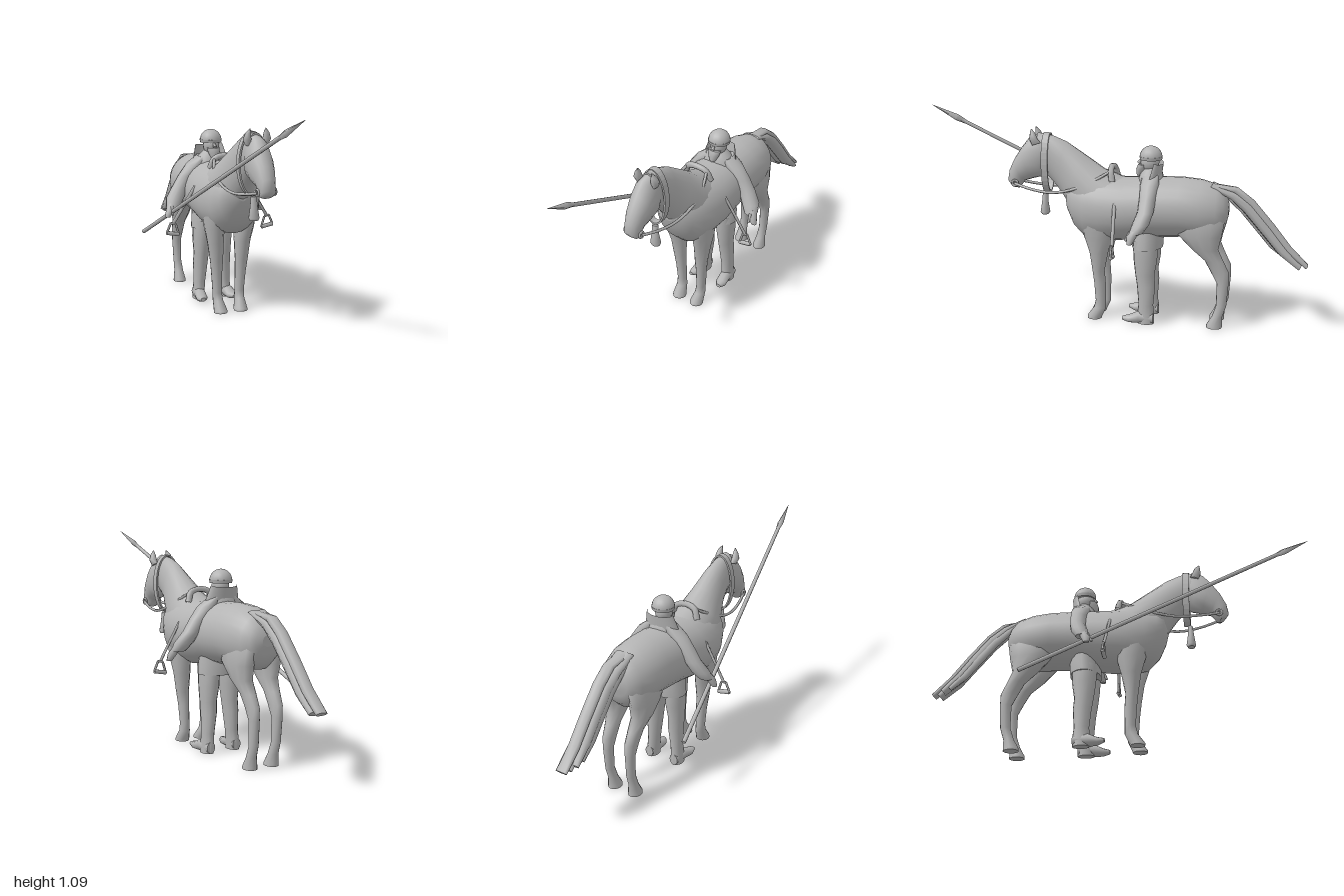
import * as THREE from 'three';

const grey = new THREE.MeshStandardMaterial({ color: 0xb4b4b4, side: THREE.DoubleSide });
grey.name = 'plain grey';

// Skin over elliptical rings. Each section: [z, y, z, y of two opposite points, half width in x, centre x]
function loft(sections, sides = 16) {
  const pos = [], index = [];
  const rings = sections.map(([za, ya, zb, yb, w, cx = 0]) => ({
    c: new THREE.Vector3(cx, (ya + yb) / 2, (za + zb) / 2),
    d: new THREE.Vector3(0, (ya - yb) / 2, (za - zb) / 2), w,
  }));
  const first = rings[0], last = rings[rings.length - 1];
  const normal = new THREE.Vector3(1, 0, 0).cross(first.d);
  const flip = normal.dot(last.c.clone().sub(first.c)) < 0;
  const tri = (a, b, c) => (flip ? index.push(a, c, b) : index.push(a, b, c));
  const addRing = (r) => {
    for (let i = 0; i < sides; i++) {
      const t = (i / sides) * Math.PI * 2, s = Math.sin(t);
      pos.push(r.c.x + r.w * Math.cos(t), r.c.y + r.d.y * s, r.c.z + r.d.z * s);
    }
  };
  rings.forEach(addRing);
  for (let k = 0; k < rings.length - 1; k++) {
    for (let i = 0; i < sides; i++) {
      const a = k * sides + i, b = k * sides + ((i + 1) % sides);
      tri(a, b, b + sides);
      tri(a, b + sides, a + sides);
    }
  }
  [first, last].forEach((r, end) => {
    const start = pos.length / 3;
    addRing(r);
    pos.push(r.c.x, r.c.y, r.c.z);
    for (let i = 0; i < sides; i++) {
      const a = start + i, b = start + ((i + 1) % sides);
      end ? tri(start + sides, a, b) : tri(start + sides, b, a);
    }
  });
  const g = new THREE.BufferGeometry();
  g.setAttribute('position', new THREE.Float32BufferAttribute(pos, 3));
  g.setIndex(index);
  g.computeVertexNormals();
  return g;
}

// Straight bar between two points
function bar(a, b, rStart, rEnd = rStart, sides = 6) {
  const A = new THREE.Vector3(...a), B = new THREE.Vector3(...b);
  const dir = B.clone().sub(A);
  const g = new THREE.CylinderGeometry(rEnd, rStart, dir.length(), sides);
  g.applyQuaternion(new THREE.Quaternion().setFromUnitVectors(new THREE.Vector3(0, 1, 0), dir.normalize()));
  return g.translate(...A.add(B).multiplyScalar(0.5).toArray());
}

function tube(points, r, segments = 24) {
  const curve = new THREE.CatmullRomCurve3(points.map((p) => new THREE.Vector3(...p)));
  return new THREE.TubeGeometry(curve, segments, r, 6);
}

export function createModel() {
  const model = new THREE.Group();
  const add = (name, geometry) => {
    const m = new THREE.Mesh(geometry, grey);
    m.name = name;
    model.add(m);
    return m;
  };

  // Horse
  add('horseBody', loft([
    [-0.59, 0.635, -0.588, 0.58, 0.03], [-0.583, 0.665, -0.58, 0.545, 0.065], [-0.565, 0.7, -0.568, 0.5, 0.09],
    [-0.53, 0.735, -0.53, 0.465, 0.118], [-0.45, 0.758, -0.45, 0.455, 0.143],
    [-0.35, 0.766, -0.35, 0.46, 0.152], [-0.2, 0.762, -0.2, 0.45, 0.157],
    [-0.05, 0.755, -0.05, 0.425, 0.164], [0.06, 0.76, 0.06, 0.413, 0.157],
    [0.14, 0.755, 0.14, 0.425, 0.138], [0.2, 0.74, 0.2, 0.485, 0.11], [0.235, 0.72, 0.235, 0.56, 0.075],
    [0.25, 0.69, 0.25, 0.61, 0.03],
  ], 24));
  add('horseNeck', loft([
    [-0.05, 0.755, 0.14, 0.47, 0.135], [0.05, 0.79, 0.23, 0.59, 0.115], [0.14, 0.852, 0.266, 0.645, 0.088],
    [0.25, 0.925, 0.3, 0.69, 0.064], [0.32, 0.953, 0.345, 0.74, 0.055], [0.4, 0.966, 0.39, 0.77, 0.05],
  ], 20));
  add('horseHead', loft([
    [0.37, 0.965, 0.34, 0.79, 0.045], [0.445, 0.942, 0.37, 0.74, 0.063], [0.49, 0.885, 0.43, 0.725, 0.062],
    [0.53, 0.825, 0.475, 0.71, 0.051], [0.557, 0.768, 0.49, 0.69, 0.042],
    [0.566, 0.715, 0.502, 0.672, 0.041], [0.548, 0.69, 0.52, 0.672, 0.026],
  ]));

  // Tail of overlapping strands: centre x, height offset, half width, length factor, thickness factor
  [[0.006, 0, 0.033, 1, 0.7], [0.012, -0.03, 0.04, 0.93, 1], [-0.02, -0.035, 0.028, 0.88, 1],
    [-0.035, -0.055, 0.013, 0.8, 0.8]].forEach(([x, dy, w, len, thick]) => {
    const at = (dz, drop, t) => {
      const z = -0.5 + dz * len, y = 0.735 + drop * len + dy * Math.min(1, -dz / 0.12), h = t * thick / 2;
      return [z - h * 0.75, y + h, z + h * 0.75, y - h, w, x];
    };
    add('tailStrand', loft([at(0, 0, 0.02), at(-0.12, -0.02, 0.04), at(-0.2, -0.085, 0.05),
      at(-0.3, -0.2, 0.05), at(-0.39, -0.31, 0.045), at(-0.485, -0.395, 0.024)], 8));
  });

  for (const s of [-1, 1]) {
    add('frontLeg', loft([
      [0.16, 0.56, -0.02, 0.56, 0.05, s * 0.09], [0.14, 0.45, -0.005, 0.45, 0.05, s * 0.082],
      [0.115, 0.37, 0.015, 0.37, 0.042, s * 0.074], [0.1, 0.27, 0.035, 0.27, 0.034, s * 0.069],
      [0.092, 0.2, 0.03, 0.2, 0.028, s * 0.066], [0.085, 0.1, 0.03, 0.1, 0.024, s * 0.062],
      [0.095, 0.06, 0.03, 0.06, 0.026, s * 0.06], [0.13, 0.012, 0.052, 0.012, 0.035, s * 0.056],
      [0.13, 0, 0.055, 0, 0.036, s * 0.056],
    ], 12));
    add('hindLeg', loft([
      [-0.33, 0.64, -0.55, 0.64, 0.05, s * 0.06], [-0.32, 0.56, -0.575, 0.56, 0.058, s * 0.07],
      [-0.34, 0.49, -0.563, 0.49, 0.055, s * 0.076],
      [-0.41, 0.42, -0.548, 0.42, 0.046, s * 0.073], [-0.48, 0.36, -0.575, 0.36, 0.035, s * 0.068],
      [-0.513, 0.3, -0.605, 0.3, 0.03, s * 0.066], [-0.545, 0.24, -0.605, 0.24, 0.025, s * 0.066],
      [-0.545, 0.12, -0.597, 0.12, 0.022, s * 0.064], [-0.525, 0.06, -0.578, 0.06, 0.025, s * 0.063],
      [-0.498, 0.012, -0.578, 0.012, 0.034, s * 0.062], [-0.498, 0, -0.578, 0, 0.035, s * 0.062],
    ], 12));
    add('ear', loft([
      [0.42, 0.905, 0.375, 0.92, 0.013, s * 0.045], [0.432, 0.935, 0.39, 0.942, 0.021, s * 0.05],
      [0.43, 0.965, 0.4, 0.967, 0.014, s * 0.047], [0.426, 0.988, 0.42, 0.988, 0.002, s * 0.04],
    ], 8));
    add('bitRing', new THREE.TorusGeometry(0.015, 0.006, 6, 12).rotateY(Math.PI / 2).translate(s * 0.044, 0.703, 0.518));
    add('rein', tube([[s * 0.044, 0.7, 0.52], [s * 0.07, 0.68, 0.42], [s * 0.088, 0.672, 0.31],
      [s * 0.098, 0.698, 0.19], [s * 0.085, 0.748, 0.08], [s * 0.055, 0.795, 0]], 0.0075));

    // Stirrup on its slanting strap
    add('stirrupStrap', bar([s * 0.145, 0.65, -0.033], [s * 0.262, 0.462, -0.045], 0.009, 0.009, 4));
    const frame = [[0.25, 0.456], [0.233, 0.4], [0.298, 0.412], [0.276, 0.462], [0.25, 0.456]];
    for (let i = 0; i < 4; i++) {
      const [p, q] = [frame[i], frame[i + 1]];
      add('stirrup', bar([s * p[0], p[1], -0.045], [s * q[0], q[1], -0.045], i === 1 ? 0.011 : 0.006));
    }

    // Rider limbs
    add('sleeve', loft([
      [-0.155, 0.775, -0.24, 0.785, 0.025, s * 0.05], [-0.15, 0.735, -0.245, 0.74, 0.055, s * 0.082],
      [-0.155, 0.68, -0.24, 0.68, 0.05, s * 0.13], [-0.155, 0.62, -0.235, 0.62, 0.045, s * 0.172],
      [-0.135, 0.565, -0.22, 0.565, 0.048, s * 0.207], [-0.122, 0.52, -0.192, 0.525, 0.036, s * 0.226],
    ], 12));
    add('hand', loft([
      [-0.135, 0.545, -0.175, 0.545, 0.02, s * 0.232], [-0.115, 0.51, -0.165, 0.51, 0.023, s * 0.248],
      [-0.118, 0.475, -0.145, 0.475, 0.014, s * 0.262],
    ], 8));
    add('thumb', bar([s * 0.24, 0.53, -0.13], [s * 0.242, 0.487, -0.108], 0.009, 0.006));
    add('riderLeg', loft([
      [-0.11, 0.44, -0.24, 0.44, 0.05, s * 0.056], [-0.115, 0.34, -0.238, 0.34, 0.048, s * 0.06],
      [-0.125, 0.26, -0.225, 0.26, 0.04, s * 0.063], [-0.135, 0.2, -0.23, 0.2, 0.038, s * 0.065],
      [-0.145, 0.1, -0.222, 0.1, 0.031, s * 0.071], [-0.14, 0.05, -0.228, 0.05, 0.03, s * 0.075],
      [-0.14, 0, -0.228, 0, 0.031, s * 0.077],
    ], 12));
    add('boot', loft([
      [-0.225, 0.06, -0.225, 0, 0.024, s * 0.077], [-0.15, 0.065, -0.15, 0, 0.031, s * 0.08],
      [-0.1, 0.042, -0.1, 0.002, 0.032, s * 0.086], [-0.065, 0.034, -0.065, 0.014, 0.014, s * 0.092],
    ], 10));
  }

  // Head strap with hanging tassel
  const strap = new THREE.Shape().absellipse(0.0, 0.812, 0.073, 0.156, 0, Math.PI * 2);
  strap.holes.push(new THREE.Path().absellipse(0, 0.812, 0.064, 0.147, 0, Math.PI * 2, true));
  add('headStrap', new THREE.ExtrudeGeometry(strap, { depth: 0.034, bevelEnabled: false, curveSegments: 16 }).translate(0, 0, 0.334));
  add('tassel', loft([
    [0.378, 0.655, 0.352, 0.655, 0.015, 0.006], [0.384, 0.6, 0.35, 0.6, 0.02, 0.006],
    [0.392, 0.55, 0.342, 0.55, 0.028, 0.007], [0.385, 0.538, 0.35, 0.538, 0.022, 0.007],
  ], 10));

  // Saddle pommel
  add('pommel', tube([[-0.075, 0.74, -0.005], [-0.055, 0.79, 0.005], [0, 0.805, 0.01], [0.055, 0.79, 0.005], [0.075, 0.74, -0.005]], 0.016, 12));

  // Rider
  add('coat', loft([
    [-0.098, 0.398, -0.258, 0.398, 0.115], [-0.1, 0.46, -0.262, 0.46, 0.113], [-0.12, 0.6, -0.25, 0.6, 0.1],
    [-0.12, 0.72, -0.26, 0.72, 0.098], [-0.135, 0.775, -0.25, 0.775, 0.075], [-0.16, 0.81, -0.225, 0.81, 0.035],
  ]));
  add('face', new THREE.SphereGeometry(0.045, 14, 10).scale(0.95, 1.15, 1.05).translate(0, 0.835, -0.185));
  add('nose', bar([0, 0.855, -0.145], [0, 0.83, -0.128], 0.005, 0.01));
  add('beard', loft([
    [-0.125, 0.825, -0.18, 0.825, 0.036], [-0.115, 0.8, -0.17, 0.8, 0.032], [-0.118, 0.765, -0.145, 0.765, 0.014],
  ], 10));
  add('helmet', new THREE.SphereGeometry(0.057, 16, 8, 0, Math.PI * 2, 0, Math.PI / 2).scale(1, 1, 1.02).translate(0, 0.862, -0.19));
  add('helmetRim', new THREE.CylinderGeometry(0.059, 0.056, 0.016, 16).translate(0, 0.858, -0.19));
  // Upright collar open at the front
  add('collar', new THREE.CylinderGeometry(0.075, 0.1, 0.095, 16, 1, true, Math.PI / 2, Math.PI)
    .scale(1, 1, 0.5).rotateX(-0.25).translate(0, 0.795, -0.205));

  // Lance with a four-sided leaf blade
  const butt = new THREE.Vector3(-0.297, 0.33, -0.46), tip = new THREE.Vector3(-0.05, 1.085, 1.0);
  const along = (t) => butt.clone().lerp(tip, t).toArray();
  add('lanceShaft', bar(along(0), along(0.9), 0.011, 0.01, 8));
  add('lanceBladeBase', bar(along(0.87), along(0.91), 0.009, 0.018, 4));
  add('lanceBladePoint', bar(along(0.91), along(1), 0.018, 0.0005, 4));

  return model;
}
